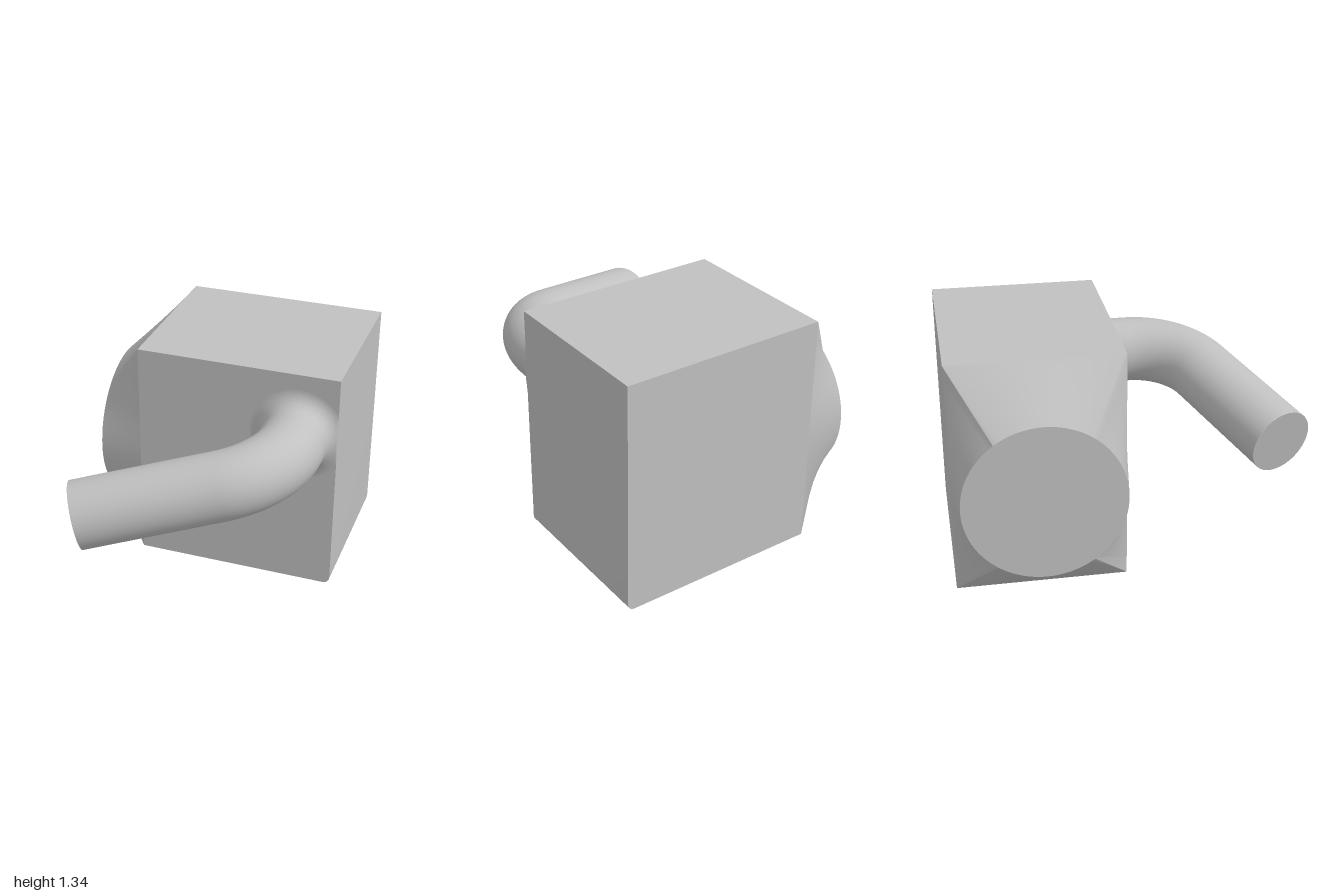
import * as THREE from 'three';
import { toCreasedNormals } from 'three/addons/utils/BufferGeometryUtils.js';

// Main dimensions
const X0 = -0.46, X1 = 0.72, H = 1.34, Z0 = -1, Z1 = -0.04;
const END_X = -0.725, END_R = 0.445, END_Y = 0.635;
const PIPE_R = 0.19, FILLET = 0.09;

export function createModel() {
  const model = new THREE.Group();
  const grey = new THREE.MeshStandardMaterial({ color: 0xc0c0c0 });
  grey.name = 'plain grey';

  const add = (name, geometry) => {
    const mesh = new THREE.Mesh(geometry, grey);
    mesh.name = name;
    model.add(mesh);
    return mesh;
  };

  // Block with one rounded lower edge
  const r = 0.04;
  const outline = new THREE.Shape();
  outline.moveTo(X0, 0);
  outline.lineTo(X1 - r, 0);
  outline.absarc(X1 - r, r, r, -Math.PI / 2, 0, false);
  outline.lineTo(X1, H);
  outline.lineTo(X0, H);
  outline.closePath();
  const block = new THREE.ExtrudeGeometry(outline, { depth: Z1 - Z0, bevelEnabled: false, curveSegments: 10 });
  block.translate(0, 0, Z0);
  add('block', toCreasedNormals(block, 0.6));

  // Transition from the rectangular side to a round end, one patch per side
  const hy = H / 2, hz = (Z1 - Z0) / 2, cz = (Z0 + Z1) / 2;
  const corner = Math.atan2(hy, hz);
  const corners = [-corner, corner, Math.PI - corner, Math.PI + corner, 2 * Math.PI - corner];
  const transition = new THREE.Group();
  transition.name = 'transition';
  model.add(transition);
  for (let side = 0; side < 4; side++) {
    const n = 24, positions = [], index = [];
    for (let i = 0; i <= n; i++) {
      const a = THREE.MathUtils.lerp(corners[side], corners[side + 1], i / n);
      const c = Math.cos(a), s = Math.sin(a);
      const reach = Math.min(hz / Math.max(Math.abs(c), 1e-6), hy / Math.max(Math.abs(s), 1e-6));
      positions.push(X0, hy + reach * s, cz + reach * c);
      positions.push(END_X, END_Y + END_R * s, cz + END_R * c);
      if (i < n) {
        const k = 2 * i;
        index.push(k, k + 2, k + 1, k + 1, k + 2, k + 3);
      }
    }
    const patch = new THREE.BufferGeometry();
    patch.setAttribute('position', new THREE.Float32BufferAttribute(positions, 3));
    patch.setIndex(index);
    patch.computeVertexNormals();
    transition.add(add('transitionSide', patch));
  }
  const roundEnd = new THREE.CircleGeometry(END_R, 96);
  roundEnd.rotateY(-Math.PI / 2);
  roundEnd.translate(END_X, END_Y, cz);
  add('roundEnd', roundEnd);

  // Bent pipe: straight stub, circular bend, straight run
  const base = new THREE.Vector3(0.49, 0.97, Z1);
  const forward = new THREE.Vector3(0, 0, 1);
  const sideways = new THREE.Vector3(-0.976, -0.217, 0).normalize();
  const angle = 1.187, bendR = 0.43;
  const run = forward.clone().multiplyScalar(Math.cos(angle)).addScaledVector(sideways, Math.sin(angle));
  const bendStart = new THREE.Vector3(base.x, base.y, 0.13);
  const bendEnd = bendStart.clone()
    .addScaledVector(sideways, bendR * (1 - Math.cos(angle)))
    .addScaledVector(forward, bendR * Math.sin(angle));
  const tip = new THREE.Vector3(-0.475, 0.757, 0.82);
  const handle = (4 / 3) * Math.tan(angle / 4) * bendR;
  const path = new THREE.CurvePath();
  path.add(new THREE.LineCurve3(base, bendStart));
  path.add(new THREE.CubicBezierCurve3(
    bendStart,
    bendStart.clone().addScaledVector(forward, handle),
    bendEnd.clone().addScaledVector(run, -handle),
    bendEnd));
  path.add(new THREE.LineCurve3(bendEnd, tip));
  add('pipe', new THREE.TubeGeometry(path, 96, PIPE_R, 64, false));

  const pipeEnd = add('pipeEnd', new THREE.CircleGeometry(PIPE_R, 64));
  pipeEnd.position.copy(tip);
  pipeEnd.quaternion.setFromUnitVectors(forward, run);

  // Concave fillet at the pipe root, cut flush with the block's side
  const profile = [];
  for (let i = 0; i <= 16; i++) {
    const a = (i / 16) * Math.PI / 2;
    profile.push(new THREE.Vector2(
      PIPE_R + FILLET * (1 - Math.sin(a)),
      FILLET * (1 - Math.cos(a))));
  }
  const fillet = new THREE.LatheGeometry(profile, 96);
  fillet.rotateX(Math.PI / 2);
  fillet.translate(base.x, base.y, base.z);
  const p = fillet.attributes.position;
  for (let i = 0; i < p.count; i++) p.setX(i, Math.min(p.getX(i), X1));
  add('pipeFillet', toCreasedNormals(fillet, 0.5));

  return model;
}
